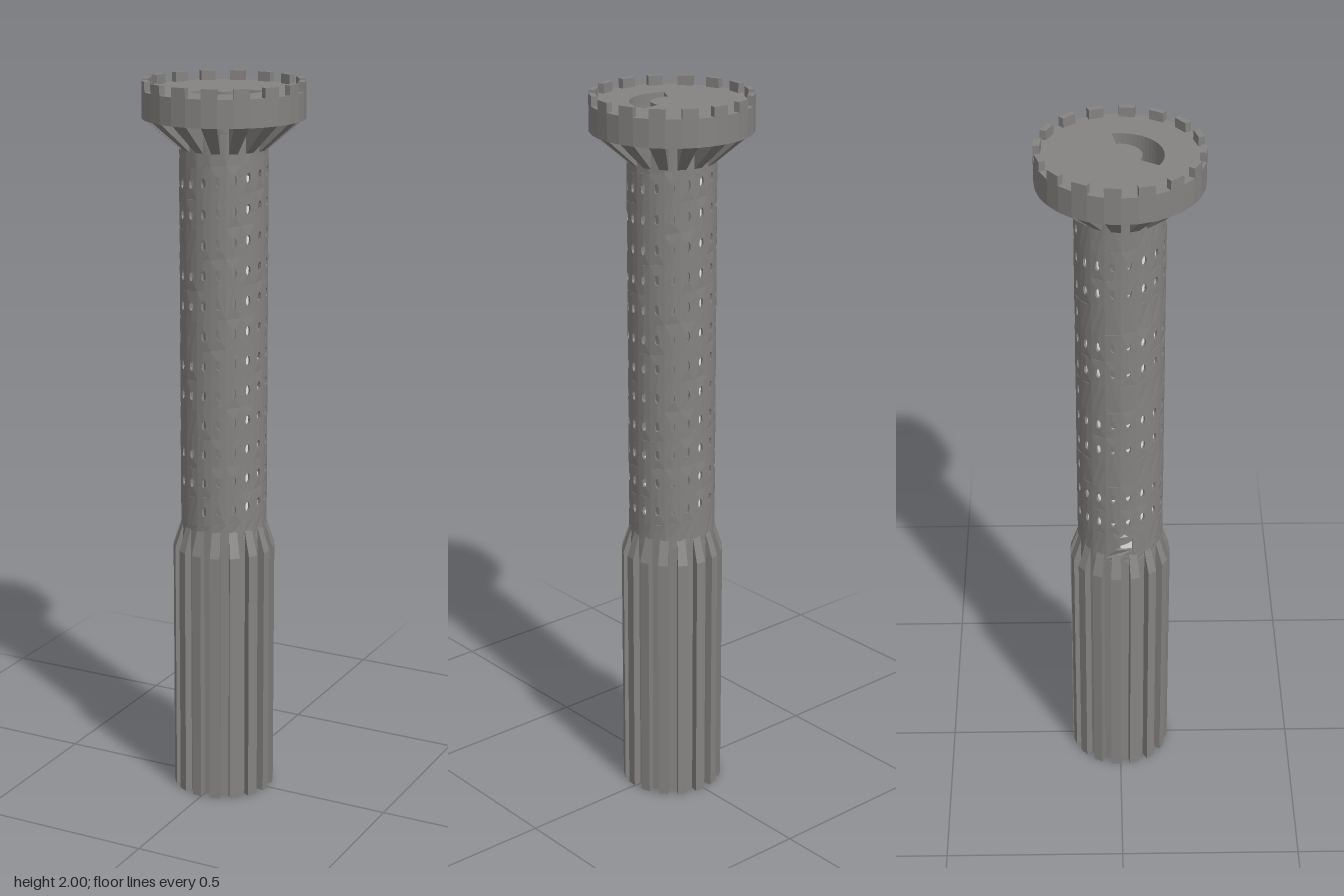
import * as THREE from 'three';
import { mergeGeometries } from 'three/addons/utils/BufferGeometryUtils.js';

const TAU = Math.PI * 2;
const COLS = 18;            // windows per turn
const PITCH = 0.082;        // rise per turn
const R_IN = 0.112, R_OUT = 0.119;
const SHAFT_LOW = 0.76, SHAFT_TOP = 1.9;

// Angles run from the front (+z) towards +x.
const v2 = (x, y) => new THREE.Vector2(x, y);
const around = (r, a) => v2(r * Math.sin(a), -r * Math.cos(a));

function arc(r, a0, a1, steps) {
  const pts = [];
  for (let i = 0; i <= steps; i++) pts.push(around(r, a0 + (a1 - a0) * i / steps));
  return pts;
}
const polygon = (r, sides = 32) => arc(r, 0, TAU, sides).slice(0, -1);

// Moves every vertex by a rule giving [angle, radius, height].
function bend(geo, rule) {
  const p = geo.attributes.position;
  for (let i = 0; i < p.count; i++) {
    const [a, r, y] = rule(p.getX(i), p.getY(i), p.getZ(i));
    p.setXYZ(i, r * Math.sin(a), y, r * Math.cos(a));
  }
  geo.computeVertexNormals();
  return geo;
}

// Horizontal slab with optional holes.
function slab(outline, holes, y0, y1) {
  const s = new THREE.Shape(outline);
  holes.forEach(h => s.holes.push(new THREE.Path(h)));
  const g = new THREE.ExtrudeGeometry(s, { depth: y1 - y0, bevelEnabled: false });
  return g.rotateX(-Math.PI / 2).translate(0, y0, 0);
}

// Sixteen wedges swept from a radius/height profile.
function wedgeRing(profile) {
  const parts = [];
  for (let k = 0; k < 16; k++) {
    const a1 = k * TAU / 16, span = TAU / 32;
    const s = new THREE.Shape(profile.map(([r, y]) => v2(r, y)));
    const g = new THREE.ExtrudeGeometry(s, { depth: 1, bevelEnabled: false });
    parts.push(bend(g, (x, y, z) => [a1 - span * z, x, y]));
  }
  return mergeGeometries(parts);
}

// Curved wall panel following the spiral; n is its column, cols its width.
const spiralY = n => 0.84 + PITCH * n / COLS;
function panel(n, cols, hole) {
  const clamp = y => Math.min(SHAFT_TOP, Math.max(SHAFT_LOW, y));
  const h = cols / 2, us = cols === 1 ? [-h, 0, h] : [-h, -h / 2, 0, h / 2, h];
  const low = us.map(u => v2(u, clamp(spiralY(n + u) - PITCH / 2)));
  const high = us.map(u => v2(u, clamp(spiralY(n + u) + PITCH / 2)));
  if (high[0].y - low[0].y < 1e-4 && high.at(-1).y - low.at(-1).y < 1e-4) return null;
  const s = new THREE.Shape([...low, ...high.reverse()]);
  if (hole) s.holes.push(new THREE.Path(hole));
  const g = new THREE.ExtrudeGeometry(s, { depth: R_OUT - R_IN, bevelEnabled: false });
  return bend(g, (x, y, z) => [(n + x) * TAU / COLS, R_IN + z, y]);
}

function shaftWall() {
  const parts = [];
  for (let n = -2 * COLS; n < 14 * COLS; n++) {
    if (n === -5 || n === -4) continue;
    const turn = Math.floor(n / COLS), col = n - turn * COLS;
    const open = turn >= 0 && turn < 12 && !(turn % 3 === 2 && col > 10);
    const y = spiralY(n);
    const hole = open && Array.from({ length: 8 }, (_, i) => {
      const a = (i + 0.5) * TAU / 8;
      return v2(0.17 * Math.cos(a), y + 0.0145 * Math.sin(a));
    });
    const g = panel(n, 1, hole);
    if (g) parts.push(g);
  }
  // doorway with a pointed head
  const d = [[-0.3, 0.803], [0.8, 0.803], [0.8, 0.84], [0.25, 0.859], [-0.3, 0.84]];
  parts.push(panel(-4.5, 2, d.map(([x, y]) => v2(x, y))));
  return mergeGeometries(parts);
}

// Ramp winding up to the roof opening.
function spiralRamp() {
  const t0 = -0.25, t1 = 13.28;
  const g = new THREE.BoxGeometry(R_IN - 0.053, 0.008, 1, 1, 1, 480);
  return bend(g, (x, y, z) => {
    const t = t0 + (t1 - t0) * (0.5 - z);
    return [t * TAU, (R_IN + 0.053) / 2 + x, 0.867 + PITCH * (t - 1) + y];
  });
}

export function createModel() {
  const stone = new THREE.MeshStandardMaterial({ color: 0x858381 });
  stone.name = 'stone grey';
  const pale = new THREE.MeshStandardMaterial({ color: 0xcacaca });
  pale.name = 'pale stone';
  const tower = new THREE.Group();
  tower.name = 'tower';
  const add = (name, geo, mat = stone) => {
    const m = new THREE.Mesh(geo, mat);
    m.name = name;
    tower.add(m);
  };

  // ribbed hollow base
  add('baseTube', slab(polygon(R_OUT), [polygon(R_IN)], 0, SHAFT_LOW + 0.002));
  add('baseRibs', wedgeRing([[0.116, 0], [0.141, 0], [0.141, 0.715], [0.118, 0.785], [0.116, 0.785]]));
  add('shaftFloor', slab(polygon(0.114), [], 0.748, 0.758));

  // shaft with spiral windows, core and ramp
  add('shaftWall', shaftWall());
  const core = new THREE.CylinderGeometry(0.055, 0.055, 1.16, 32);
  add('centralColumn', core.translate(0, 1.335, 0));
  add('spiralRamp', spiralRamp(), pale);

  // overhanging roof with stair opening
  add('brackets', wedgeRing([[0.115, 1.82], [0.119, 1.82], [0.215, 1.902], [0.115, 1.902]]));
  const a0 = -30 * TAU / 360, a1 = 100 * TAU / 360;
  const opening = [...arc(0.111, a0, a1, 20), ...arc(0.056, a1, a0, 20)];
  add('roofPlatform', slab(polygon(0.217), [opening], 1.9, 1.974));
  add('battlements', wedgeRing([[0.2, 1.97], [0.217, 1.97], [0.217, 2], [0.2, 2]]));
  return tower;
}
